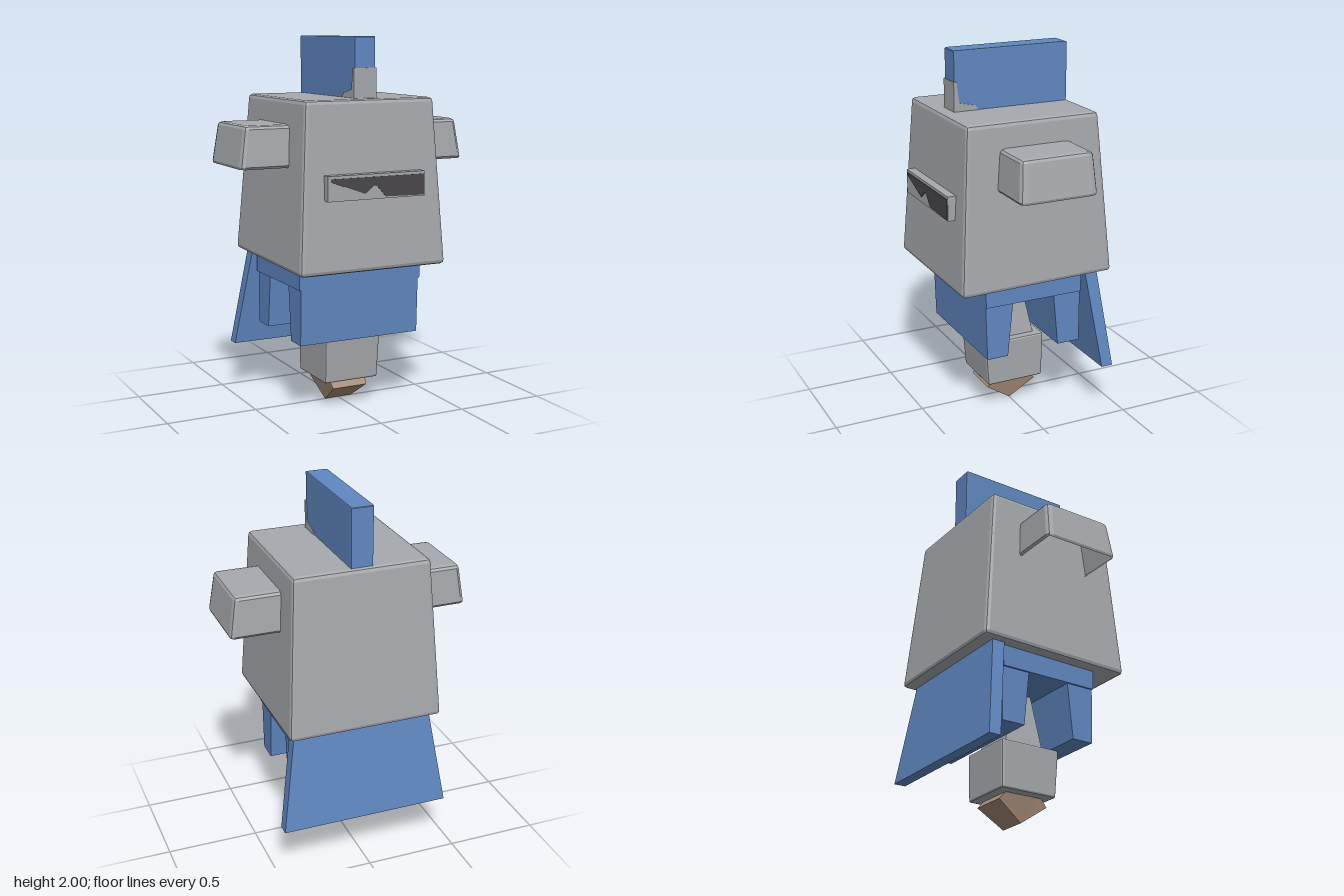
import * as THREE from 'three';
import { RoundedBoxGeometry } from 'three/addons/geometries/RoundedBoxGeometry.js';

function flat(name, color, extra = {}) {
  return new THREE.MeshStandardMaterial({ name, color, flatShading: true, ...extra });
}

// Box between two heights whose rectangle [x0, x1, z0, z1] changes from bottom to top.
function taperedBox(y0, y1, bottom, top, bevel = 0, open = false) {
  let geo = bevel ? new RoundedBoxGeometry(1, 1, 1, 1, bevel) : new THREE.BoxGeometry(1, 1, 1).toNonIndexed();
  if (geo.index) geo = geo.toNonIndexed();
  const p = geo.attributes.position;
  for (let i = 0; i < p.count; i++) {
    const t = p.getY(i) + 0.5;
    const r = bottom.map((b, k) => b + (top[k] - b) * t);
    p.setXYZ(i,
      r[0] + (r[1] - r[0]) * (p.getX(i) + 0.5),
      y0 + (y1 - y0) * t,
      r[2] + (r[3] - r[2]) * (p.getZ(i) + 0.5));
  }
  if (open) {
    // Leave out the underside, the fourth of the six faces.
    const n = p.array.length / 6;
    const kept = [...p.array.slice(0, 3 * n), ...p.array.slice(4 * n)];
    geo = new THREE.BufferGeometry();
    geo.setAttribute('position', new THREE.Float32BufferAttribute(kept, 3));
  }
  geo.clearGroups();
  geo.computeVertexNormals();
  return geo;
}

function extrude(points, depth) {
  const shape = new THREE.Shape(points.map(([x, y]) => new THREE.Vector2(x, y)));
  return new THREE.ExtrudeGeometry(shape, { depth, bevelEnabled: false });
}

export function createModel() {
  const group = new THREE.Group();
  const grey = flat('grey metal', 0xa6a9ad);
  const greyShell = flat('grey metal', 0xa6a9ad, { side: THREE.DoubleSide });
  const blue = flat('blue cloth', 0x6088c2);
  const dark = flat('dark slit', 0x49474b);
  const tan = flat('tan foot', 0xa68b77);

  const add = (name, geo, mat) => {
    const mesh = new THREE.Mesh(geo, mat);
    mesh.name = name;
    group.add(mesh);
    return mesh;
  };

  // Large helmet, with a hem slightly higher at the back
  const helmet = taperedBox(0.8, 1.685, [-0.425, 0.425, -0.44, 0.43], [-0.37, 0.37, -0.365, 0.375], 0.025);
  const hp = helmet.attributes.position;
  for (let i = 0; i < hp.count; i++) {
    if (hp.getY(i) < 1 && hp.getZ(i) < 0) hp.setY(i, hp.getY(i) + 0.015);
  }
  helmet.computeVertexNormals();
  add('helmet', helmet, grey);

  // Crest with a grey front foot
  const crest = [-0.06, 0.06, -0.345, 0.305];
  add('crest', taperedBox(1.66, 2.0, crest, crest, 0.015), blue);
  const patch = extrude([[0.31, 1.67], [0.31, 1.84], [0.295, 1.84], [0.28, 1.73], [0.19, 1.71], [0.16, 1.67]], 0.13);
  patch.rotateY(-Math.PI / 2).translate(0.065, 0, 0);
  add('crestFoot', patch, grey);

  // Side horns, hollow underneath
  for (const s of [1, -1]) {
    const span = (inner, outer) => (s > 0 ? [inner, outer] : [-outer, -inner]);
    add(s > 0 ? 'leftHorn' : 'rightHorn',
      taperedBox(1.33, 1.555, [...span(0.36, 0.655), -0.215, 0.22], [...span(0.36, 0.62), -0.2, 0.2], 0.08, true),
      greyShell);
  }

  // Visor block with a dark opening
  const visor = [-0.28, 0.28, 0.37, 0.445];
  add('visor', taperedBox(1.18, 1.31, visor, visor), grey);
  const slit = extrude([[-0.265, 1.295], [-0.265, 1.28], [-0.07, 1.21], [-0.02, 1.25],
    [0.0, 1.245], [0.05, 1.19], [0.275, 1.185], [0.275, 1.295]], 0.005);
  add('visorSlit', slit.translate(0, 0, 0.443), dark);

  // Tunic: a yoke with front and back panels, open at the sides
  add('tunicYoke', taperedBox(0.7, 0.84, [-0.36, 0.36, -0.29, 0.27], [-0.36, 0.36, -0.29, 0.275]), blue);
  add('tunicFront', taperedBox(0.4, 0.71, [-0.35, 0.35, 0.14, 0.26], [-0.35, 0.35, 0.11, 0.27]), blue);
  add('tunicBack', taperedBox(0.41, 0.71, [-0.35, 0.35, -0.29, -0.16], [-0.35, 0.35, -0.29, -0.13]), blue);

  // Cape hanging outward behind
  add('cape', taperedBox(0.275, 0.83, [-0.465, 0.465, -0.44, -0.375], [-0.38, 0.38, -0.37, -0.3]), blue);

  // Leg column and lower block
  add('leg', taperedBox(0.36, 0.72, [-0.13, 0.13, -0.13, 0.11], [-0.08, 0.08, -0.06, 0.06]), grey);
  add('lowerLeg', taperedBox(0.14, 0.4, [-0.16, 0.16, -0.165, 0.165], [-0.165, 0.165, -0.17, 0.185], 0.04), grey);

  // Wedge foot, narrowing to a ridge at the ground
  const foot = extrude([[0, 0], [0.145, 0.1], [0.1, 0.15], [-0.1, 0.15], [-0.145, 0.1]], 0.22);
  foot.rotateY(-Math.PI / 2).translate(0.11, 0, 0);
  const fp = foot.attributes.position;
  for (let i = 0; i < fp.count; i++) {
    fp.setX(i, fp.getX(i) * (0.73 + 0.27 * Math.min(1, fp.getY(i) / 0.14)));
  }
  foot.computeVertexNormals();
  add('foot', foot, tan);

  return group;
}
